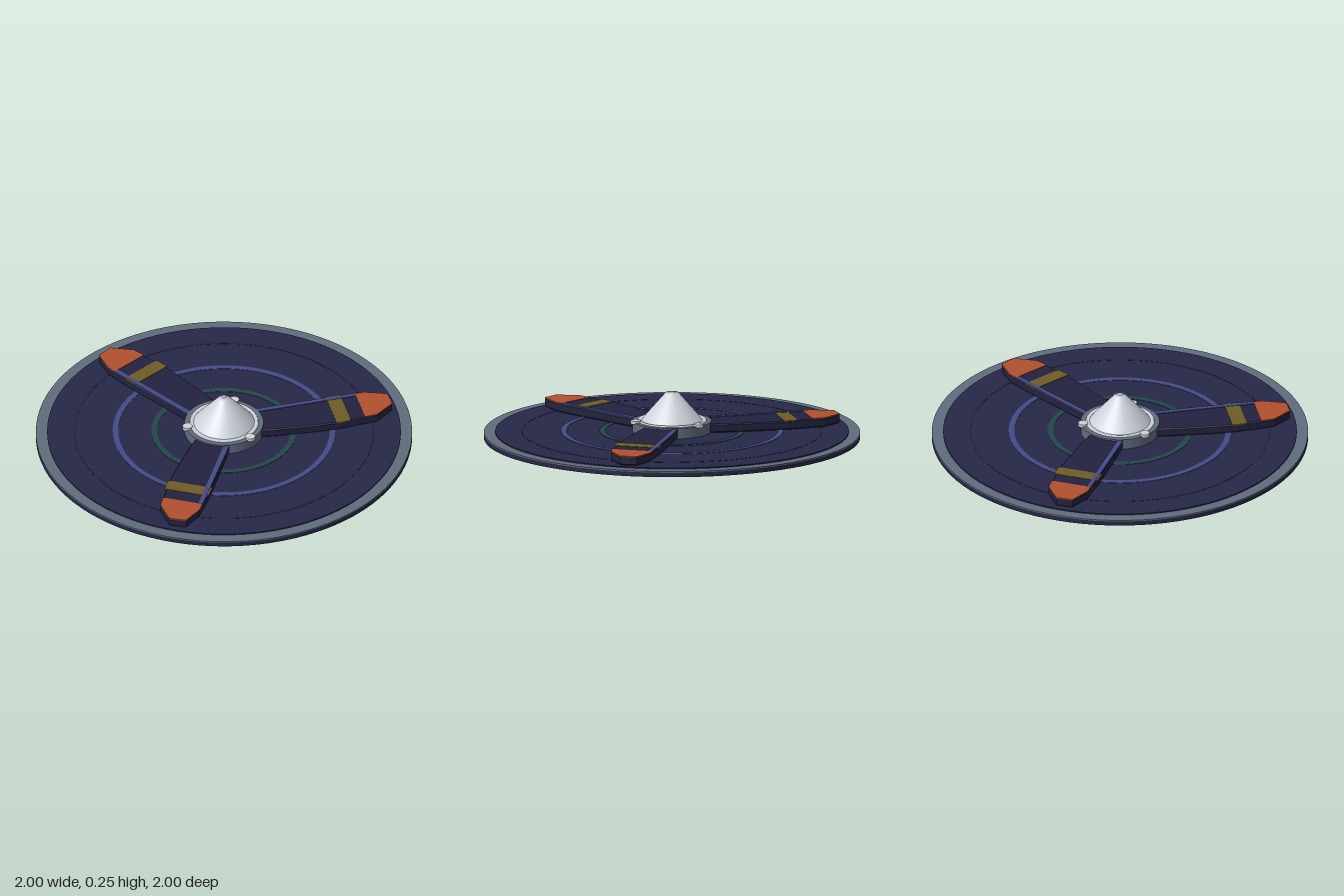
import * as THREE from 'three';

const mat = (name, color, side = THREE.FrontSide) => {
  const m = new THREE.MeshStandardMaterial({ color, side });
  m.name = name;
  return m;
};

export function createModel() {
  const group = new THREE.Group();
  const navy = mat('navy', 0x262648);
  const darkNavy = mat('dark navy', 0x222240);
  const steel = mat('steel grey', 0x606c7c);
  const silver = mat('silver', 0xcdd1da);
  const blue = mat('blue', 0x444a86);
  const green = mat('green', 0x22474a);
  const olive = mat('olive', 0x6e5c26);
  const orange = mat('orange', 0xb0502f);

  const add = (parent, name, geo, material, y = 0) => {
    const m = new THREE.Mesh(geo, material);
    m.name = name;
    m.position.y = y;
    parent.add(m);
    return m;
  };
  const lathe = (pts, n = 64) =>
    new THREE.LatheGeometry(pts.map(([r, y]) => new THREE.Vector2(r, y)), n);
  // Flat plan outline (x, outward) raised by a height, optionally bevelled
  const slab = (pts, depth, bevel = 0) => {
    const g = new THREE.ExtrudeGeometry(
      new THREE.Shape(pts.map(([x, y]) => new THREE.Vector2(x, y))),
      { depth: depth - 2 * bevel, bevelEnabled: bevel > 0, bevelSize: bevel,
        bevelThickness: bevel, bevelOffset: -bevel, bevelSegments: 1 });
    g.translate(0, 0, bevel);
    return g.rotateX(-Math.PI / 2);
  };
  // Thin annular plate
  const ring = (inner, outer, depth) => {
    const s = new THREE.Shape().absarc(0, 0, outer, 0, Math.PI * 2);
    s.holes.push(new THREE.Path().absarc(0, 0, inner, 0, Math.PI * 2, true));
    return new THREE.ExtrudeGeometry(s, { depth, bevelEnabled: false, curveSegments: 48 })
      .rotateX(-Math.PI / 2);
  };

  // Base disc with outer rim
  add(group, 'disc', new THREE.CylinderGeometry(0.94, 0.94, 0.045, 96), navy, 0.0225);
  add(group, 'rimEdge', new THREE.CylinderGeometry(1, 1, 0.024, 96), navy, 0.02);
  add(group, 'rim', ring(0.935, 1, 0.007), steel, 0.032);

  // Painted circles
  add(group, 'innerCircle', ring(0.355, 0.385, 0.003), green, 0.044);
  add(group, 'middleCircle', ring(0.562, 0.592, 0.003), blue, 0.044);
  add(group, 'outerCircle', ring(0.79, 0.8, 0.002), darkNavy, 0.044);

  // Three blades, each with tip, band and edge stripe
  const outline = [[-0.08, 0.15], [0.105, 0.15], [0.12, 0.26], [0.138, 0.5], [0.14, 0.6],
    [0.128, 0.74], [0.122, 0.81], [0.045, 0.91], [-0.045, 0.905], [-0.088, 0.79], [-0.094, 0.6]];
  const tip = [[-0.09, 0.74], [0.128, 0.74], [0.122, 0.81], [0.045, 0.912],
    [-0.045, 0.907], [-0.09, 0.79]];
  const band = [[-0.1, 0.582], [0.146, 0.582], [0.142, 0.66], [-0.1, 0.66]];
  const stripe = [[-0.083, 0.18], [-0.055, 0.18], [-0.067, 0.74], [-0.092, 0.74]];
  for (let i = 0; i < 3; i++) {
    const blade = new THREE.Group();
    blade.name = 'blade' + (i + 1);
    blade.rotation.y = (-i * 2 * Math.PI) / 3;
    add(blade, 'bladeBody', slab(outline, 0.048, 0.006), darkNavy, 0.045);
    add(blade, 'bladeTip', slab(tip, 0.006), orange, 0.09);
    add(blade, 'bladeBand', slab(band, 0.005), olive, 0.09);
    add(blade, 'bladeStripe', slab(stripe, 0.007), blue, 0.09);
    group.add(blade);
  }

  // Hub with dished collar and cone
  add(group, 'hub', new THREE.CylinderGeometry(0.21, 0.21, 0.06, 48), steel, 0.071);
  add(group, 'collar', lathe([[0.184, 0.1], [0.18, 0.11], [0.15, 0.1015]]), silver);
  add(group, 'cone', lathe([[0.165, 0.1], [0.148, 0.122], [0.033, 0.255], [0, 0.255]]), silver);

  // Hub bolts
  for (let i = 0; i < 3; i++) {
    const a = (i * 2 * Math.PI) / 3;
    const bolt = add(group, 'bolt' + (i + 1),
      new THREE.CylinderGeometry(0.028, 0.028, 0.018, 8), silver, 0.104);
    bolt.position.x = 0.2 * Math.sin(a);
    bolt.position.z = 0.2 * Math.cos(a);
  }
  return group;
}
